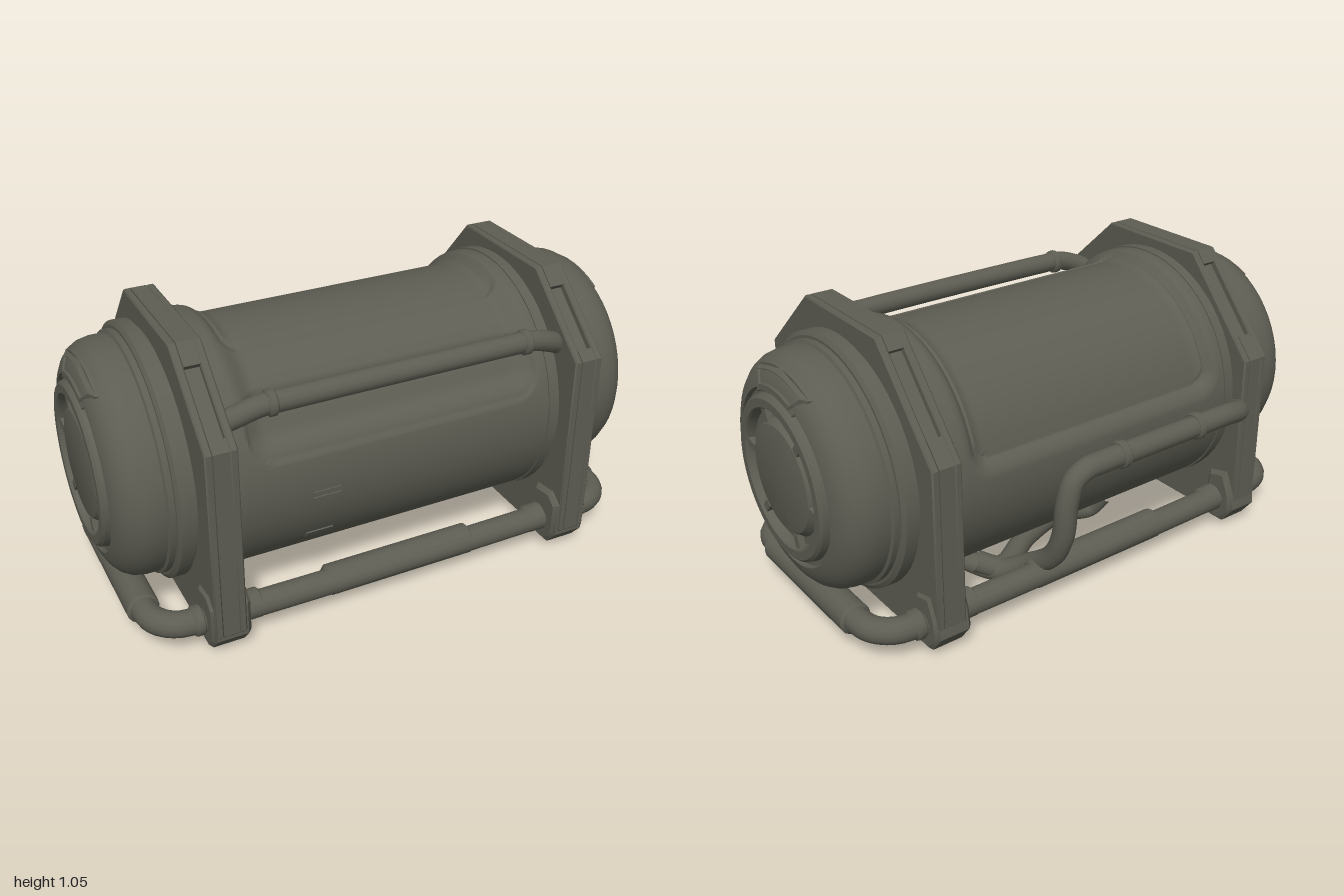
import * as THREE from 'three';
import { toCreasedNormals } from 'three/addons/utils/BufferGeometryUtils.js';

const CY = 0.55, CZ = 0.03; // drum axis
const metal = new THREE.MeshStandardMaterial({ color: 0x5d5d53 });
metal.name = 'olive grey metal';

function add(parent, name, geo, crease = 0.6) {
  const mesh = new THREE.Mesh(crease ? toCreasedNormals(geo, crease) : geo, metal);
  mesh.name = name;
  parent.add(mesh);
  return mesh;
}

// Extrudes a (z, y) outline along x, centred on x
function slab(points, width, x, holes = [], bevel = 0) {
  const shape = new THREE.Shape(points.map(p => new THREE.Vector2(...p)));
  holes.forEach(h => shape.holes.push(new THREE.Path(h.map(p => new THREE.Vector2(...p)))));
  const geo = new THREE.ExtrudeGeometry(shape, {
    depth: width - 2 * bevel, bevelEnabled: bevel > 0,
    bevelSize: bevel, bevelOffset: -bevel, bevelThickness: bevel, bevelSegments: 1,
  });
  geo.translate(0, 0, bevel - width / 2).rotateY(-Math.PI / 2);
  return geo.translate(x, 0, 0);
}

function pipe(parent, name, pts, r, closed = false, segs = 80) {
  const curve = new THREE.CatmullRomCurve3(pts.map(p => new THREE.Vector3(...p)), closed, 'centripetal');
  return add(parent, name, new THREE.TubeGeometry(curve, segs, r, 14, closed), 0);
}

// Straight sleeve along x or z with chamfered ends
function sleeve(parent, name, center, length, r, axis = 'x') {
  const h = length / 2, c = Math.min(0.012, h * 0.4);
  const geo = new THREE.LatheGeometry([[0, -h], [r - c, -h], [r, c - h], [r, h - c], [r - c, h], [0, h]]
    .map(p => new THREE.Vector2(...p)), 16);
  if (axis === 'x') geo.rotateZ(-Math.PI / 2); else geo.rotateX(Math.PI / 2);
  return add(parent, name, geo.translate(...center));
}

// 1 inside a rounded rectangle, fading to 0 over `soft`
function mask(x, s, halfX, s0, s1, corner, soft) {
  const dx = Math.abs(x) - halfX + corner;
  const ds = Math.abs(s - (s0 + s1) / 2) - (s1 - s0) / 2 + corner;
  const d = Math.hypot(Math.max(dx, 0), Math.max(ds, 0)) + Math.min(Math.max(dx, ds), 0) - corner;
  return 1 - THREE.MathUtils.smoothstep(d, -soft, 0);
}

// Drum wall: a cylinder whose radius dips in the panel areas (angle 0 is up, + is front)
function drumWall() {
  const geo = new THREE.PlaneGeometry(1, 1, 150, 270), p = geo.attributes.position, R = 0.457;
  for (let i = 0; i < p.count; i++) {
    const x = p.getX(i) * 1.3, a = -p.getY(i) * Math.PI * 2, s = a * R;
    const under = (a < 0 ? a + Math.PI * 2 : a) * R;
    let r = R;
    r -= 0.035 * mask(x, s, 0.56, -1.5 * R, 1.3 * R, 0.1, 0.09);
    r -= 0.01 * mask(x, s, 0.545, 0.78 * R, 1.345 * R, 0.09, 0.012);
    // Lid panel outlined by a narrow groove
    r -= 0.012 * (mask(x, s, 0.53, -1.4 * R, 0.42 * R, 0.07, 0.01) - mask(x, s, 0.512, -1.36 * R, 0.38 * R, 0.06, 0.01));
    r -= 0.004 * mask(x, s, 0.512, -1.36 * R, 0.38 * R, 0.06, 0.01);
    r -= 0.016 * mask(x, under, 0.5, 2.5 * R, 3.8 * R, 0.08, 0.012);
    p.setXYZ(i, x, r * Math.cos(a), r * Math.sin(a));
  }
  return geo;
}

// Arc-shaped outline between two radii, as (z, y) points around straight up
function arcBand(r0, r1, half0, half1) {
  const pts = [];
  for (let i = 0; i <= 8; i++) pts.push([r0, half0 * (i / 4 - 1)]);
  for (let i = 8; i >= 0; i--) pts.push([r1, half1 * (i / 4 - 1)]);
  return pts.map(([r, a]) => [r * Math.sin(a), r * Math.cos(a)]);
}

// End cap: stepped rings, round shoulder, recessed hub
function endCap(parent) {
  const cap = new THREE.Group();
  cap.name = 'endCap';
  const profile = [
    [0.43, 0.70], [0.43, 0.74], [0.45, 0.745], [0.45, 0.79], [0.435, 0.80], [0.425, 0.80],
    [0.425, 0.82], [0.414, 0.825], [0.414, 0.87], [0.407, 0.905], [0.39, 0.935], [0.365, 0.958],
    [0.335, 0.974], [0.31, 0.98], [0.305, 0.965], [0.29, 0.965], [0.285, 0.99], [0.275, 1.0],
    [0.245, 1.0], [0.238, 0.992], [0.232, 0.965], [0.205, 0.965], [0.187, 0.99], [0.18, 0.992], [0, 0.992],
  ].map(q => new THREE.Vector2(...q));
  add(cap, 'capShell', new THREE.LatheGeometry(profile, 56).rotateZ(-Math.PI / 2), 0.5);

  // Keyed tabs across the hub groove
  for (let i = 0; i < 6; i++) {
    const tab = new THREE.BoxGeometry(0.022, 0.045, 0.03).translate(0.98, 0.215, 0);
    add(cap, 'hubTab', tab.rotateX(0.35 + i * Math.PI / 3), 0);
  }
  // Tapered frame wrapped over the shoulder
  const frame = slab(arcBand(0.295, 0.385, 0.42, 0.5), 0.02, 0, [arcBand(0.322, 0.362, 0.33, 0.4)], 0.003);
  const p = frame.attributes.position;
  for (let i = 0; i < p.count; i++) {
    const rise = Math.max(Math.hypot(p.getY(i), p.getZ(i)) - 0.31, 0);
    p.setX(i, p.getX(i) + 0.977 - 7 * rise * rise);
  }
  add(cap, 'shoulderFrame', frame);
  parent.add(cap);
  return cap;
}

export function createModel() {
  const model = new THREE.Group();
  model.name = 'containmentDrum';

  const drum = new THREE.Group();
  drum.name = 'drum';
  drum.position.set(0, CY, CZ);
  add(drum, 'drumWall', drumWall(), 0.7);
  endCap(drum);
  endCap(drum).rotation.y = Math.PI;
  model.add(drum);

  // Octagonal end plates: solid cheeks around a core notched on both chamfers
  const outline = [[0.50, 0.03], [0.56, 0.10], [0.56, 0.80], [0.28, 1.05], [-0.18, 1.05],
    [-0.48, 0.71], [-0.48, 0.09], [-0.43, 0.03]];
  const notch = (a, b, depth) => {
    const dz = b[0] - a[0], dy = b[1] - a[1], l = Math.hypot(dz, dy);
    const at = (t, d) => [a[0] + dz * t - dy / l * d, a[1] + dy * t + dz / l * d];
    return [at(0.12, 0), at(0.12, depth), at(0.78, depth), at(0.78, 0)];
  };
  const core = [...outline.slice(0, 3), ...notch(outline[2], outline[3], 0.025), ...outline.slice(3, 5),
    ...notch(outline[4], outline[5], 0.025), ...outline.slice(5)];
  const frontClamp = [[0.45, 0.025], [0.51, 0.025], [0.555, 0.08], [0.555, 0.21], [0.51, 0.247], [0.42, 0.235], [0.40, 0.1]];
  const backClamp = [[-0.37, 0.025], [-0.34, 0.1], [-0.36, 0.22], [-0.44, 0.24], [-0.475, 0.16], [-0.485, 0.09], [-0.435, 0.025]];

  for (const s of [-1, 1]) {
    const plate = new THREE.Group();
    plate.name = s > 0 ? 'leftEndPlate' : 'rightEndPlate';
    add(plate, 'plateCore', slab(core, 0.056, s * 0.675));
    for (const o of [-0.041, 0.041]) add(plate, 'plateCheek', slab(outline, 0.028, s * 0.675 + o, [], 0.005));
    add(plate, 'frontClamp', slab(frontClamp, 0.14, s * 0.67, [], 0.014));
    add(plate, 'backClamp', slab(backClamp, 0.14, s * 0.67, [], 0.014));
    // Collar where the drum meets the plate
    add(plate, 'drumCollar', new THREE.CylinderGeometry(0.462, 0.462, 0.05, 56)
      .rotateZ(Math.PI / 2).translate(s * 0.605, CY, CZ));
    model.add(plate);
  }

  // Base rail: a rounded rectangular loop with sleeves
  const X = 0.9, ZF = 0.46, ZB = -0.39, Y = 0.117, C = 0.12, loop = [];
  const corners = [[X - C, ZF - C, 0], [-X + C, ZF - C, 1], [-X + C, ZB + C, 2], [X - C, ZB + C, 3]];
  for (const [cx, cz, q] of corners) {
    for (let i = 0; i <= 4; i++) {
      const a = (q + i / 4) * Math.PI / 2;
      loop.push([cx + C * Math.cos(a), Y, cz + C * Math.sin(a)]);
    }
  }
  const base = new THREE.Group();
  base.name = 'baseRail';
  pipe(base, 'railLoop', loop, 0.046, true, 220);
  for (const z of [ZF, ZB]) {
    sleeve(base, 'longSleeve', [0, Y, z], 0.58, 0.055);
    for (const s of [-1, 1]) {
      sleeve(base, 'railCollar', [s * 0.57, Y, z], 0.08, 0.052);
      sleeve(base, 'cornerCollar', [s * 0.76, Y, z], 0.04, 0.053);
    }
  }
  for (const s of [-1, 1]) sleeve(base, 'endSleeve', [s * X, 0.112, 0.04], 0.58, 0.057, 'z');
  model.add(base);

  // Front grab bar
  const bar = new THREE.Group();
  bar.name = 'frontHandle';
  pipe(bar, 'handleBar', [[-0.65, 0.81, 0.42], [-0.58, 0.845, 0.445], [-0.5, 0.87, 0.456], [-0.4, 0.873, 0.458],
    [0.4, 0.873, 0.458], [0.5, 0.87, 0.456], [0.58, 0.845, 0.445], [0.65, 0.81, 0.42]], 0.037);
  for (const s of [-1, 1]) sleeve(bar, 'handleCoupling', [s * 0.47, 0.872, 0.457], 0.03, 0.045);
  model.add(bar);

  // Back hose running under the drum
  const hose = new THREE.Group();
  hose.name = 'backHose';
  pipe(hose, 'hosePipe', [[-0.65, 0.5, -0.42], [-0.59, 0.53, -0.49], [-0.5, 0.55, -0.513], [-0.35, 0.552, -0.515],
    [0.08, 0.552, -0.515], [0.15, 0.548, -0.513], [0.2, 0.515, -0.508], [0.225, 0.44, -0.505], [0.23, 0.3, -0.49],
    [0.235, 0.2, -0.44], [0.26, 0.11, -0.32], [0.32, 0.06, -0.22], [0.4, 0.09, -0.12]], 0.04, false, 110);
  for (const x of [-0.35, 0]) sleeve(hose, 'hoseCoupling', [x, 0.552, -0.513], 0.03, 0.05);
  pipe(hose, 'underHose', [[0.38, 0.1, -0.18], [0.3, 0.065, -0.22], [0.1, 0.07, -0.12], [-0.12, 0.06, -0.05],
    [-0.24, 0.045, -0.07], [-0.28, 0.11, -0.11]], 0.04);
  model.add(hose);

  // Small vents on the front of the drum
  for (const [y, h] of [[0.51, 0.014], [0.487, 0.014], [0.3, 0.03]]) {
    const z = CZ + Math.sqrt(0.457 ** 2 - (y - CY) ** 2);
    add(model, 'vent', new THREE.BoxGeometry(0.1, h, 0.009)
      .rotateX(Math.asin((CY - y) / 0.457)).translate(-0.29, y, z), 0);
  }
  return model;
}
